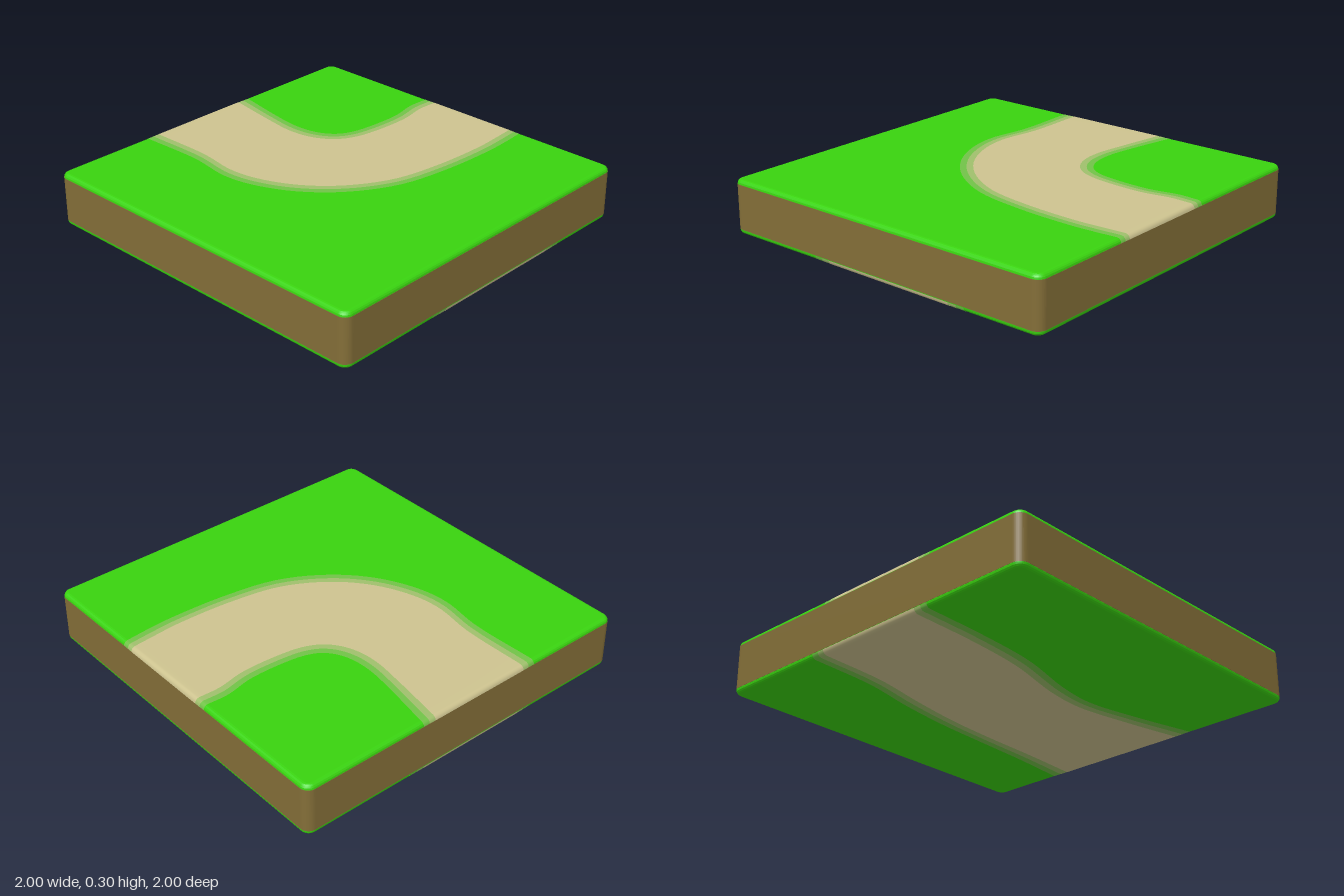
import * as THREE from 'three';

const HALF = 0.997;   // half width of the slab
const TALL = 0.146;   // half height of the slab
const MID = 0.15;     // height of the slab centre
const R = 0.023;      // rounding of the rim
const STEPS = 4;      // facets on the rim

const paint = (name, color, side = THREE.FrontSide) => {
  const m = new THREE.MeshStandardMaterial({ color, side });
  m.name = name;
  return m;
};

function roundedSquare(h, r) {
  const s = new THREE.Shape();
  s.moveTo(h - r, -h);
  s.absarc(h - r, -h + r, r, -Math.PI / 2, 0);
  s.absarc(h - r, h - r, r, 0, Math.PI / 2);
  s.absarc(-h + r, h - r, r, Math.PI / 2, Math.PI);
  s.absarc(-h + r, -h + r, r, Math.PI, Math.PI * 1.5);
  s.closePath();
  return s;
}

const curve = pts => new THREE.CatmullRomCurve3(
  pts.map(([x, z]) => new THREE.Vector3(x, 0, z)), false, 'centripetal');

// Thin band between two edge curves that wraps over the rim at both ends.
// up: 1 for the top face, -1 for the underside; inset: share trimmed off each edge
function ribbon(left, right, up, inset, lift, endDir) {
  const pos = [], index = [], N = 48;
  const row = (t, angle, dir) => {
    const a = left.getPoint(t), b = right.getPoint(t);
    const out = (R + lift) * Math.sin(angle);
    const y = MID + up * (TALL - R + (R + lift) * Math.cos(angle));
    for (const k of [inset, 1 - inset]) {
      const p = a.clone().lerp(b, k);
      pos.push(p.x + dir[0] * out, y, p.z + dir[1] * out);
    }
  };
  for (let j = STEPS; j > 0; j--) row(0, j / STEPS * Math.PI / 2, [0, -1]);
  for (let i = 0; i <= N; i++) row(i / N, 0, [0, 0]);
  for (let j = 1; j <= STEPS; j++) row(1, j / STEPS * Math.PI / 2, endDir);
  for (let i = 0; i < pos.length / 6 - 1; i++) {
    const a = 2 * i, b = a + 1, c = a + 2, d = a + 3;
    if (up > 0) index.push(a, c, b, b, c, d);
    else index.push(a, b, c, b, d, c);
  }
  const g = new THREE.BufferGeometry();
  g.setAttribute('position', new THREE.Float32BufferAttribute(pos, 3));
  g.setIndex(index);
  g.computeVertexNormals();
  return g;
}

export function createModel() {
  const group = new THREE.Group();
  const add = (name, geometry, material) => {
    const mesh = new THREE.Mesh(geometry, material);
    mesh.name = name;
    group.add(mesh);
    return mesh;
  };
  const grass = paint('grass green', 0x39d30f);
  const earth = paint('earth brown', 0x836e38);
  const layers = [
    ['pathOuterFringe', paint('grassy fringe', 0x72c348, THREE.DoubleSide), 0, 0.0008],
    ['pathInnerFringe', paint('sandy fringe', 0x9fbf6c, THREE.DoubleSide), 0.05, 0.0014],
    ['path', paint('sand', 0xcdc38f, THREE.DoubleSide), 0.1, 0.002],
  ];

  // Grass slab with a rounded rim above and below
  const slab = new THREE.ExtrudeGeometry(roundedSquare(HALF - R, 0.025), {
    depth: 2 * (TALL - R), bevelEnabled: true, bevelSize: R, bevelThickness: R,
    bevelSegments: STEPS, curveSegments: 6,
  });
  slab.rotateX(-Math.PI / 2).translate(0, MID - TALL + R, 0);
  add('grassSlab', slab, grass);

  // Earth band around the sides
  const band = new THREE.ExtrudeGeometry(roundedSquare(HALF + 0.001, 0.049), {
    depth: 0.242, bevelEnabled: false, curveSegments: 6,
  });
  band.rotateX(-Math.PI / 2).translate(0, 0.03, 0);
  add('earthBand', band, earth);

  // Curved path on top, from the back edge to the left edge
  const E = HALF - R;
  const topOuter = curve([[-0.43, -E], [-0.42, -0.61], [-0.45, -0.36], [-0.42, -0.18],
    [-0.32, 0.03], [-0.155, 0.21], [0.085, 0.35], [0.38, 0.41], [0.7, 0.43],
    [0.85, 0.425], [E, 0.415]]);
  const topInner = curve([[0.3, -E], [0.245, -0.68], [0.228, -0.54], [0.235, -0.43],
    [0.265, -0.345], [0.315, -0.285], [0.385, -0.25], [0.49, -0.23], [0.7, -0.222],
    [0.86, -0.25], [E, -0.245]]);

  // Wavy path underneath, from back to front
  const underRight = curve([[-0.42, -E], [-0.41, -0.6], [-0.38, -0.27], [-0.29, 0.1],
    [-0.27, 0.32], [-0.33, 0.65], [-0.41, E]]);
  const underLeft = curve([[0.37, -E], [0.39, -0.6], [0.45, -0.3], [0.49, 0],
    [0.51, 0.3], [0.53, 0.65], [0.56, E]]);

  for (const [name, material, inset, lift] of layers) {
    add(name + 'Top', ribbon(topOuter, topInner, 1, inset, lift, [1, 0]), material);
    add(name + 'Underside', ribbon(underRight, underLeft, -1, inset, lift, [0, 1]), material);
  }
  return group;
}
